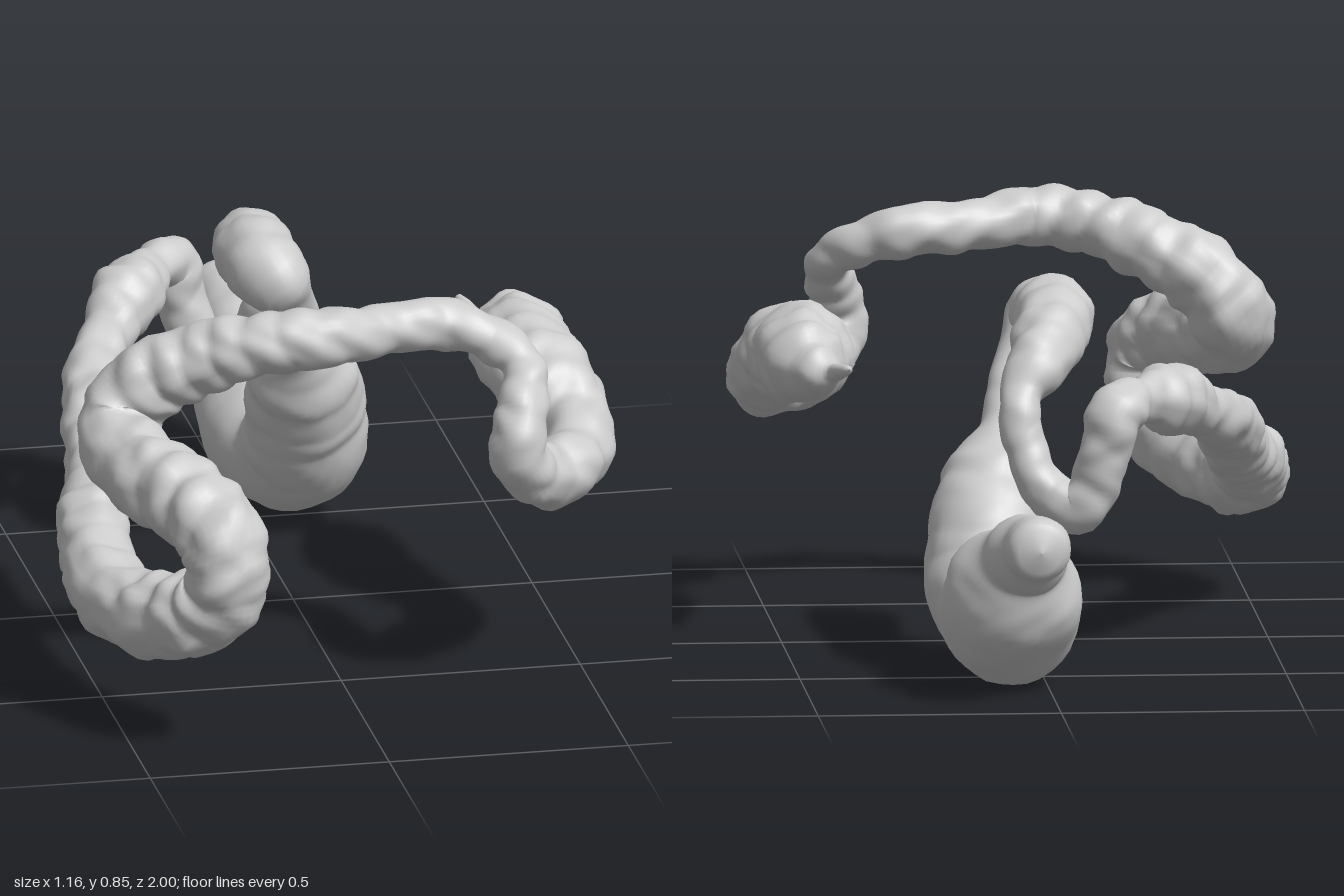
import * as THREE from 'three';

// Centre line of each bowel section: x, y, z, radius
const SECTIONS = {
  rectum: [
    [0.04, 0.32, -1.0, 0.068], [0.045, 0.318, -0.9, 0.066], [0.06, 0.285, -0.81, 0.088],
    [0.075, 0.2, -0.715, 0.145], [0.08, 0.135, -0.62, 0.142], [0.095, 0.125, -0.51, 0.122],
    [0.11, 0.18, -0.43, 0.13],
  ],
  sigmoidColon: [
    [0.1, 0.28, -0.37, 0.125], [0.085, 0.36, -0.31, 0.11], [0.055, 0.47, -0.22, 0.052],
    [0.03, 0.58, -0.13, 0.044], [-0.03, 0.67, -0.075, 0.08], [-0.045, 0.685, -0.17, 0.082],
    [-0.03, 0.665, -0.28, 0.077], [0.0, 0.62, -0.37, 0.065], [0.045, 0.55, -0.44, 0.042],
    [0.03, 0.45, -0.475, 0.042], [-0.02, 0.36, -0.5, 0.05], [-0.075, 0.34, -0.52, 0.052],
    [-0.115, 0.42, -0.535, 0.05], [-0.15, 0.54, -0.535, 0.058],
  ],
  descendingColon: [
    [-0.2, 0.555, -0.47, 0.046], [-0.275, 0.54, -0.365, 0.072], [-0.34, 0.5, -0.25, 0.054],
    [-0.395, 0.46, -0.12, 0.06], [-0.42, 0.425, 0.02, 0.064], [-0.45, 0.36, 0.2, 0.068],
    [-0.495, 0.295, 0.38, 0.073], [-0.495, 0.24, 0.58, 0.084], [-0.42, 0.25, 0.76, 0.088],
    [-0.33, 0.33, 0.885, 0.086], [-0.325, 0.45, 0.9, 0.086],
  ],
  transverseColon: [
    [-0.38, 0.51, 0.79, 0.09], [-0.45, 0.53, 0.63, 0.09], [-0.465, 0.58, 0.5, 0.084],
    [-0.4, 0.665, 0.49, 0.079], [-0.29, 0.725, 0.53, 0.074], [-0.17, 0.765, 0.58, 0.063],
    [-0.06, 0.775, 0.6, 0.062], [0.07, 0.765, 0.55, 0.052], [0.2, 0.76, 0.52, 0.054],
    [0.3, 0.73, 0.545, 0.047], [0.36, 0.685, 0.6, 0.042],
  ],
  ascendingColon: [
    [0.345, 0.62, 0.675, 0.054], [0.33, 0.54, 0.705, 0.058], [0.38, 0.465, 0.65, 0.068],
    [0.47, 0.45, 0.55, 0.07], [0.505, 0.48, 0.43, 0.076], [0.465, 0.54, 0.31, 0.096],
  ],
  caecum: [[0.442, 0.565, 0.2, 0.1], [0.445, 0.56, 0.07, 0.088], [0.42, 0.55, -0.01, 0.052]],
  appendix: [[0.395, 0.555, -0.05, 0.018], [0.382, 0.565, -0.1, 0.014], [0.37, 0.575, -0.14, 0.008]],
};

const RINGS = 720, SIDES = 32;

// Smooth irregular lumps over space, about -1 to 1
const lumps = (p, f) =>
  Math.sin(p.x * f + 1.3 * Math.sin(p.y * f * 0.7)) * Math.sin(p.y * f + 1.7 + Math.sin(p.z * f * 0.6))
  + 0.5 * Math.sin(p.z * f * 1.1 + 2 * Math.sin(p.x * f * 0.5));

export function createModel() {
  const group = new THREE.Group();
  group.name = 'largeIntestine';

  const knots = Object.values(SECTIONS).flat();
  const curve = new THREE.CatmullRomCurve3(knots.map(k => new THREE.Vector3(k[0], k[1], k[2])));
  curve.arcLengthDivisions = 2000;
  const length = curve.getLength();
  const frames = curve.computeFrenetFrames(RINGS, false);
  const last = knots.length - 1;

  const radiusAt = t => {
    const f = t * last, i = Math.min(Math.floor(f), last - 1);
    return THREE.MathUtils.lerp(knots[i][3], knots[i + 1][3], THREE.MathUtils.smoothstep(f - i, 0, 1));
  };

  // Pouched rings swept along the whole centre line
  const positions = [], ringT = [];
  const dir = new THREE.Vector3(), p = new THREE.Vector3();
  for (let i = 0; i <= RINGS; i++) {
    const u = i / RINGS, s = u * length, t = curve.getUtoTmapping(u);
    ringT.push(t * last);
    const centre = curve.getPointAt(u);
    let r = radiusAt(t);
    // Blunt closed ends
    const d = Math.min(1, Math.min(s, length - s) / r);
    r *= Math.max(1e-9, 1 - (1 - d) ** 3) ** 0.4;
    // The rectum is smoother than the colon
    const pouch = THREE.MathUtils.smoothstep(t * last, 5, 18) * 0.05 + 0.012;
    for (let j = 0; j < SIDES; j++) {
      const a = (j / SIDES) * Math.PI * 2;
      dir.copy(frames.normals[i]).multiplyScalar(Math.cos(a)).addScaledVector(frames.binormals[i], Math.sin(a));
      p.copy(centre).addScaledVector(dir, r);
      const fold = Math.abs(Math.sin(s * 36 + 0.9 * Math.sin(a + s * 5) + 1.6 * Math.sin(s * 8))) - 0.6;
      const k = r * (1 + pouch * (1.5 * fold + lumps(p, 58)) + 0.025 * lumps(p, 24));
      p.copy(centre).addScaledVector(dir, k);
      positions.push(p.x, p.y, p.z);
    }
  }

  const facesBetween = (from, to) => {
    const index = [];
    for (let i = from; i < to; i++) for (let j = 0; j < SIDES; j++) {
      const a = i * SIDES + j, d = i * SIDES + (j + 1) % SIDES;
      index.push(a, d, d + SIDES, a, d + SIDES, a + SIDES);
    }
    return index;
  };

  const whole = new THREE.BufferGeometry();
  whole.setAttribute('position', new THREE.Float32BufferAttribute(positions, 3));
  whole.setIndex(facesBetween(0, RINGS));
  whole.computeVertexNormals();

  // Cut the sweep into named sections that share seamless normals
  const material = new THREE.MeshStandardMaterial({ color: 0xcccccc });
  let knot = 0, from = 0;
  for (const [name, points] of Object.entries(SECTIONS)) {
    knot += points.length;
    const next = ringT.findIndex(f => f >= knot);
    const to = next < 0 ? RINGS : next;
    whole.setIndex(facesBetween(from, to));
    const mesh = new THREE.Mesh(whole.toNonIndexed(), material);
    mesh.name = name;
    group.add(mesh);
    from = to;
  }
  return group;
}
